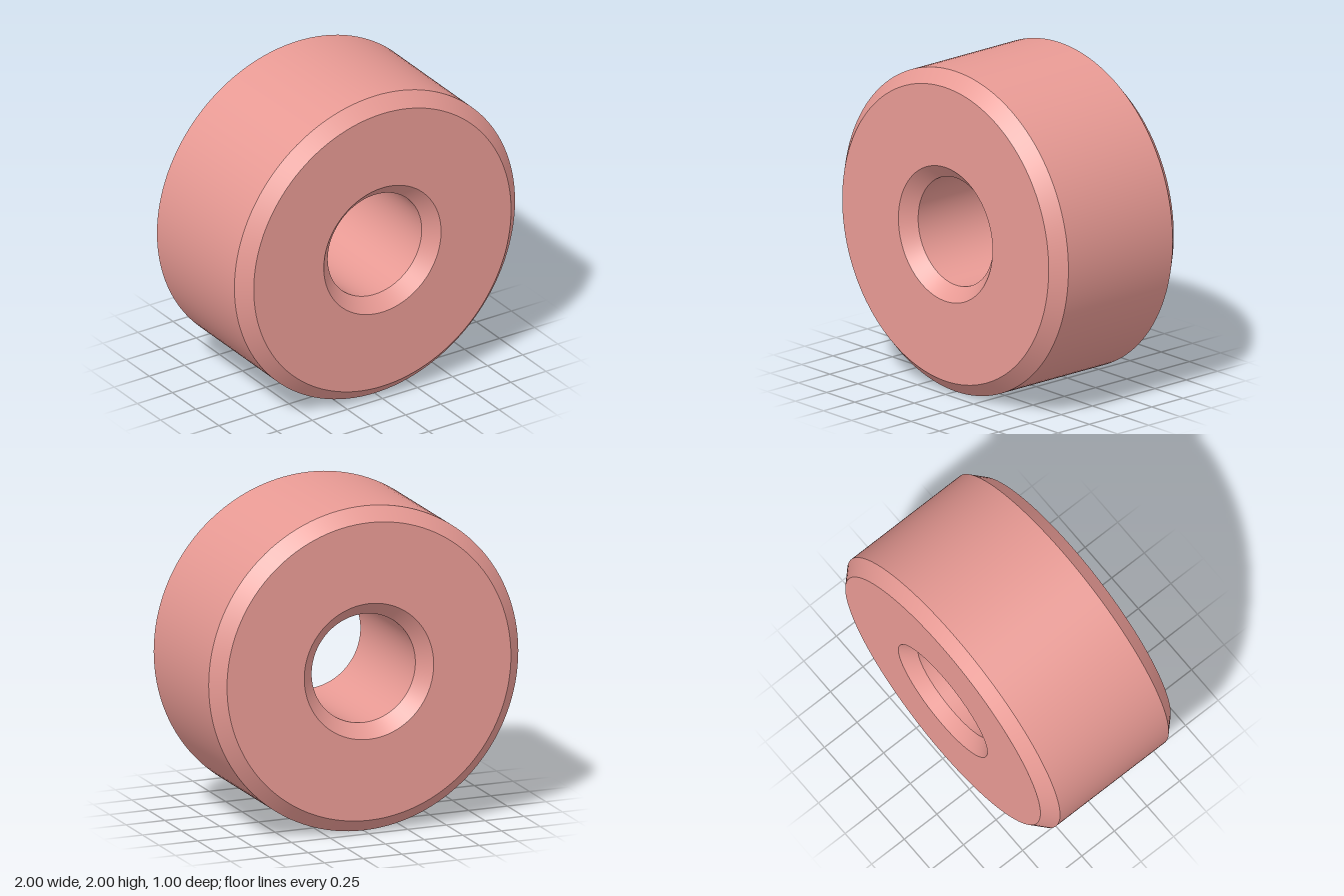
import * as THREE from 'three';
import { toCreasedNormals } from 'three/addons/utils/BufferGeometryUtils.js';

export function createModel() {
  const group = new THREE.Group();
  const outer = 1, bore = 0.335, half = 0.5, chamfer = 0.083;

  // Closed ring section: up the outside, across the face, down the bore, back
  const profile = [
    [outer - chamfer, -half],
    [outer, -half + chamfer],
    [outer, half - chamfer],
    [outer - chamfer, half],
    [bore + chamfer, half],
    [bore, half - chamfer],
    [bore, -half + chamfer],
    [bore + chamfer, -half],
    [outer - chamfer, -half],
  ].map(([r, y]) => new THREE.Vector2(r, y));

  // Chamfered roller, its axis turned to run front to back
  const geometry = toCreasedNormals(new THREE.LatheGeometry(profile, 128), 0.5);
  geometry.rotateX(Math.PI / 2);
  const roller = new THREE.Mesh(geometry, new THREE.MeshStandardMaterial({ color: 0xe89a94 }));
  roller.name = 'chamferedRoller';
  roller.position.y = outer;
  group.add(roller);

  return group;
}
